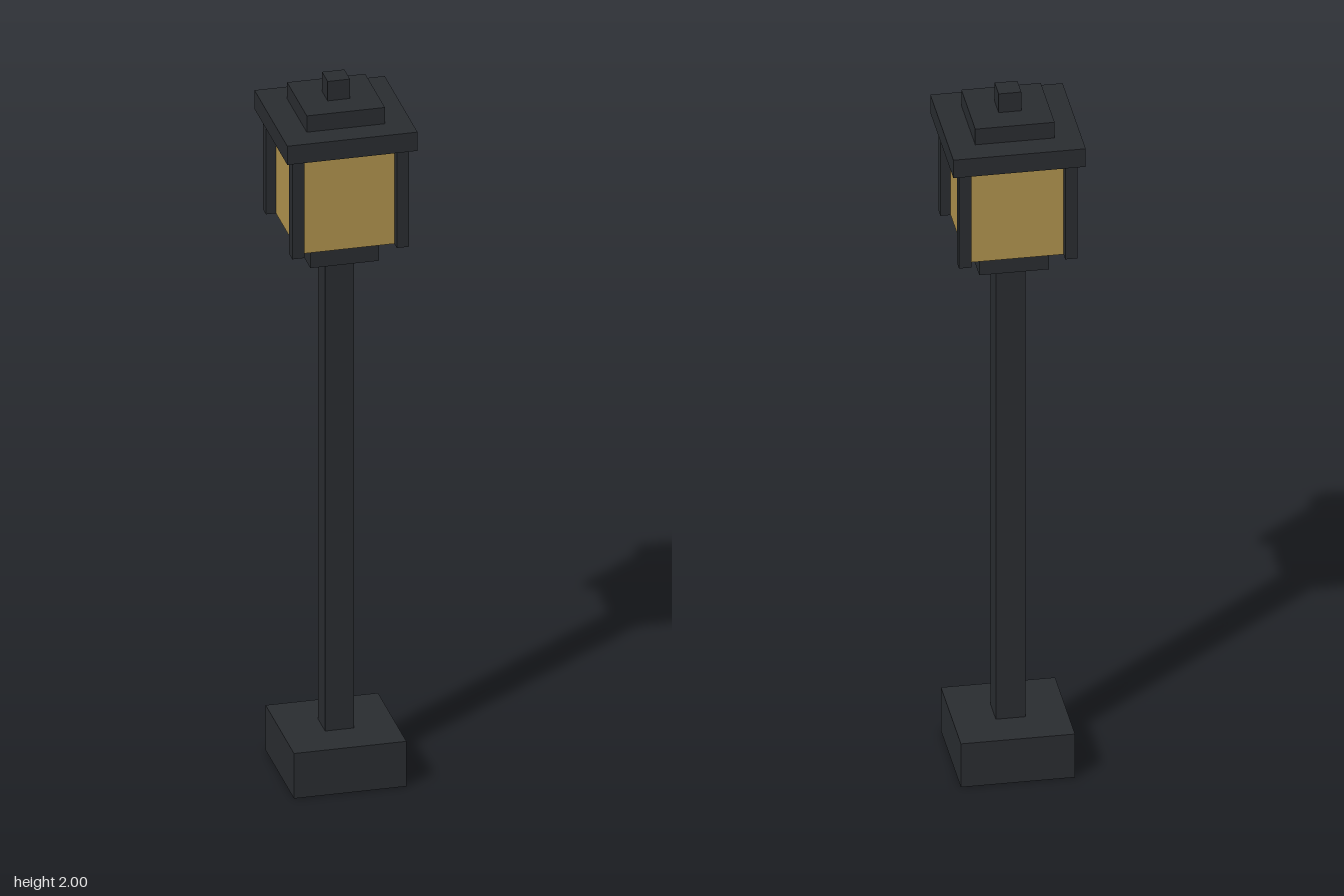
import * as THREE from 'three';

export function createModel() {
  const group = new THREE.Group();
  group.name = 'streetLamp';
  const metal = new THREE.MeshStandardMaterial({ color: 0x2a2d31 });
  const amber = new THREE.MeshStandardMaterial({ color: 0xb3954f });

  // Square block from y0 to y1, centred on (x, z)
  function block(name, half, y0, y1, material = metal, x = 0, z = 0) {
    const mesh = new THREE.Mesh(new THREE.BoxGeometry(half * 2, y1 - y0, half * 2), material);
    mesh.position.set(x, (y0 + y1) / 2, z);
    mesh.name = name;
    group.add(mesh);
  }

  // Base, pole and lantern support
  block('base', 0.151, 0, 0.13);
  block('pole', 0.039, 0.13, 1.497);
  block('lanternSupport', 0.092, 1.497, 1.56);

  // Glass body with four corner bars
  block('glass', 0.13, 1.56, 1.843, amber);
  for (const x of [-1, 1]) {
    for (const z of [-1, 1]) {
      block('cornerBar', 0.0165, 1.56, 1.843, metal, x * 0.1405, z * 0.1405);
    }
  }

  // Stepped roof and finial
  block('roof', 0.175, 1.843, 1.897);
  block('roofCap', 0.105, 1.897, 1.944);
  block('finial', 0.03, 1.944, 2);

  return group;
}
